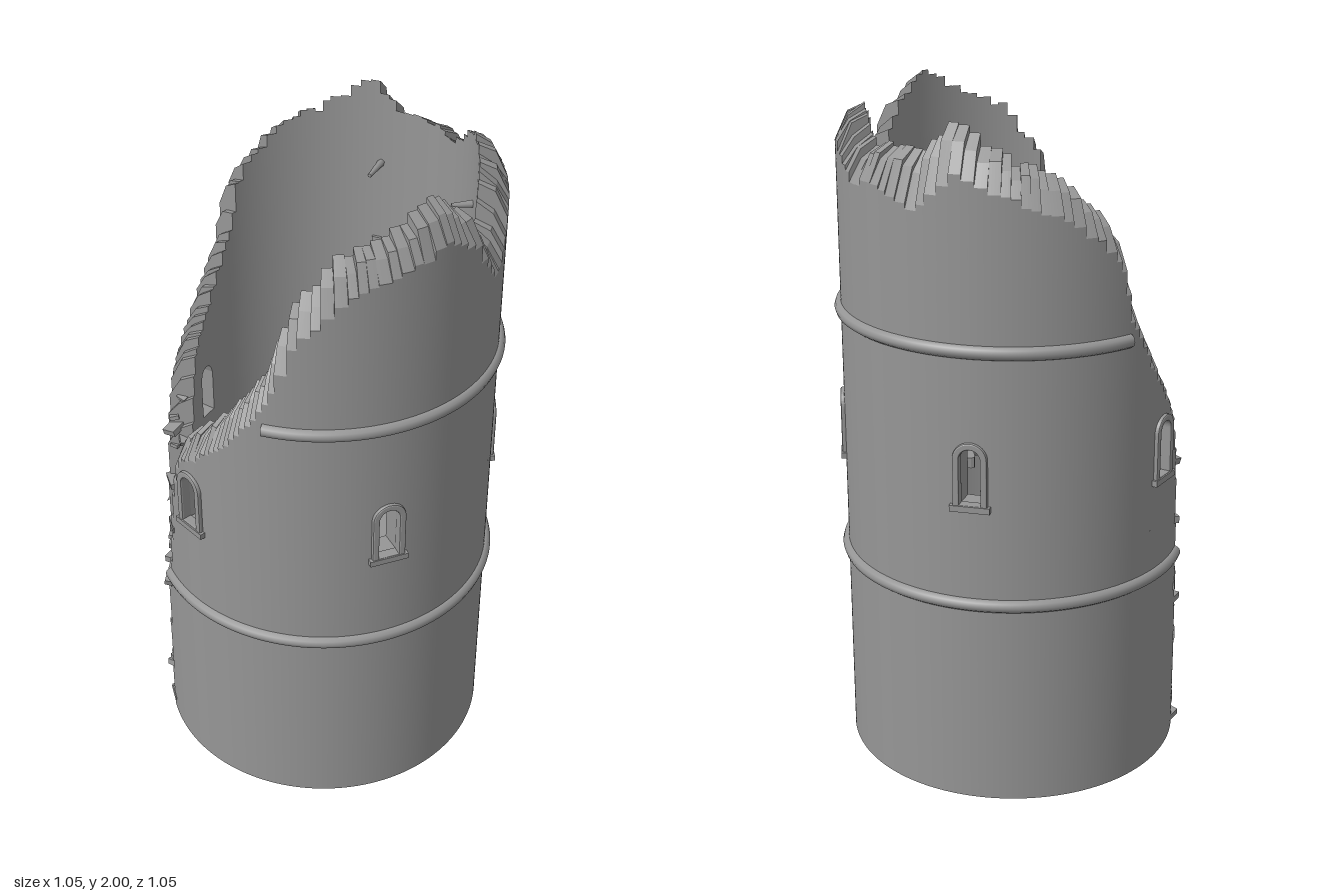
import * as THREE from 'three';

const OUT = 0.505, MID = 0.468, INN = 0.42;
const START = 241, END = 580; // wall runs between the breach edges, degrees from +z towards +x
const WINDOWS = [267, 337, 411, 483, 555], HALF = 4;
const SILL = 0.93, SPRING = 1.07;

// Broken wall top: angle, height of the outer edge
const TOP = [[241, 0.05], [243, 0.3], [246, 0.55], [250, 0.68], [256, 0.97], [261, 1.13], [270, 1.18],
  [285, 1.3], [296, 1.43], [307, 1.65], [320, 1.78], [330, 1.82], [347, 1.87], [356, 1.9], [368, 1.84],
  [378, 1.73], [384, 1.68], [390, 1.72], [397, 1.81], [410, 1.87], [420, 1.87], [436, 1.79], [450, 1.8],
  [465, 1.74], [478, 1.86], [492, 1.81], [510, 1.75], [525, 1.67], [533, 1.58], [537, 1.43], [548, 1.27],
  [556, 1.18], [563, 1.08], [568, 0.94], [571, 0.72], [574, 0.5], [577, 0.3], [580, 0.05]];

const grey = new THREE.MeshStandardMaterial({ color: 0x969696 });

let seed = 7;
const rand = () => (seed = (seed * 16807) % 2147483647) / 2147483647;
const jitter = (s) => (rand() - 0.5) * 2 * s;

function lookup(table, a) {
  let i = 1;
  while (i < table.length - 1 && table[i][0] < a) i++;
  const [p, q] = [table[i - 1], table[i]];
  return THREE.MathUtils.lerp(p[1], q[1], THREE.MathUtils.clamp((a - p[0]) / (q[0] - p[0]), 0, 1));
}

function polar(a, r, y) {
  const t = THREE.MathUtils.degToRad(a);
  return new THREE.Vector3(r * Math.sin(t), y, r * Math.cos(t));
}

function add(parent, name, geometry) {
  const mesh = new THREE.Mesh(geometry, grey);
  mesh.name = name;
  parent.add(mesh);
  return mesh;
}

// Hollow wall with arched openings and a stepped, outward sloping broken top
function wallGeometry() {
  const pos = [], nor = [];
  // smooth round faces get radial normals, broken faces stay flat
  const tri = (...corners) => {
    const t = new THREE.Triangle(...corners);
    if (t.getArea() < 1e-9) return;
    const flat = t.getNormal(new THREE.Vector3());
    for (const c of corners) {
      const radial = new THREE.Vector3(c.x, 0, c.z).normalize();
      const d = flat.dot(radial);
      const base = flat.y < -0.99 && c.y === 0;
      const n = base ? radial : Math.abs(d) > 0.995 ? radial.multiplyScalar(Math.sign(d)) : flat;
      pos.push(...c.toArray());
      nor.push(...n.toArray());
    }
  };
  const quad = (a, b, c, d) => { tri(a, b, c); tri(a, c, d); };
  const strip = (a0, a1, r0, y00, y01, r1, y10, y11) =>
    quad(polar(a0, r0, y00), polar(a1, r0, y01), polar(a1, r1, y11), polar(a0, r1, y10));

  const pts = [{ a: START, o: 0, m: 0, n: 0 }];
  let h, next = START;
  for (let a = START; a < END; a++) {
    if (a === next) {
      // wide blocks along the crown, narrow ones down the breach
      const width = a > 300 && a < 530 ? 3 + Math.floor(rand() * 2) : 2;
      const base = lookup(TOP, a + width / 2);
      const rise = 0.09 + 0.07 * Math.exp(-(((a - 465) / 12) ** 2));
      const o = base + jitter(0.008);
      const n = Math.min(2, base + rise + jitter(0.013));
      h = { o, n, m: Math.min(2, o + (n - o) * 0.7 + jitter(0.01)) };
      next = a + width;
    }
    const c = { ...h };
    if (WINDOWS.some((w) => a >= w - HALF && a < w + HALF)) for (const k in c) c[k] = Math.max(c[k], 1.15);
    pts.push({ a, ...c }, { a: a + 1, ...c });
  }
  pts.push({ a: END, o: 0, m: 0, n: 0 });

  for (let i = 1; i < pts.length; i++) {
    const p = pts[i - 1], q = pts[i];
    // broken top, risers and wall ends
    strip(p.a, q.a, OUT, p.o, q.o, MID, p.m, q.m);
    strip(p.a, q.a, MID, p.m, q.m, INN, p.n, q.n);
    if (p.a === q.a) continue;
    strip(p.a, q.a, INN, 0, 0, OUT, 0, 0);
    const w = WINDOWS.find((c) => p.a >= c - HALF && q.a <= c + HALF);
    if (w === undefined) {
      strip(p.a, q.a, OUT, 0, 0, OUT, p.o, q.o);
      strip(q.a, p.a, INN, 0, 0, INN, q.n, p.n);
      continue;
    }
    const arch = (a) => SPRING + 0.0088 * Math.sqrt(HALF ** 2 - (a - w) ** 2);
    const [h0, h1] = [arch(p.a), arch(q.a)];
    strip(p.a, q.a, OUT, 0, 0, OUT, SILL, SILL);
    strip(p.a, q.a, OUT, h0, h1, OUT, p.o, q.o);
    strip(q.a, p.a, INN, 0, 0, INN, SILL, SILL);
    strip(q.a, p.a, INN, h1, h0, INN, q.n, p.n);
    strip(p.a, q.a, OUT, SILL, SILL, INN, SILL, SILL);
    strip(p.a, q.a, INN, h0, h1, OUT, h0, h1);
    const jamb = (a, rA, rB) => quad(polar(a, rA, SILL), polar(a, rB, SILL), polar(a, rB, SPRING), polar(a, rA, SPRING));
    if (p.a === w - HALF) jamb(p.a, OUT, INN);
    if (q.a === w + HALF) jamb(q.a, INN, OUT);
  }
  const g = new THREE.BufferGeometry();
  g.setAttribute('position', new THREE.Float32BufferAttribute(pos, 3));
  g.setAttribute('normal', new THREE.Float32BufferAttribute(nor, 3));
  return g;
}

// Flat ring sector; inner(a) gives the inner radius
function slab(a0, a1, step, inner, outer, y, thick) {
  const pts = [], back = [];
  const n = Math.round((a1 - a0) / step);
  for (let i = 0; i <= n; i++) {
    const a = a0 + ((a1 - a0) * i) / n;
    const o = polar(a, outer, 0), c = polar(a, inner(a), 0);
    pts.push(new THREE.Vector2(o.x, -o.z));
    back.unshift(new THREE.Vector2(c.x, -c.z));
  }
  const g = new THREE.ExtrudeGeometry(new THREE.Shape([...pts, ...back]), { depth: thick, bevelEnabled: false });
  return g.rotateX(-Math.PI / 2).translate(0, y, 0);
}

// Half-round string course covering part of the circle
function band(a0, a1) {
  const g = new THREE.TorusGeometry(OUT - 0.002, 0.02, 10, 120, THREE.MathUtils.degToRad(a1 - a0));
  return g.rotateX(-Math.PI / 2).rotateY(THREE.MathUtils.degToRad(a0 - 90));
}

function archShape(w, bottom) {
  const s = new THREE.Shape();
  s.moveTo(-w, bottom).lineTo(w, bottom).lineTo(w, SPRING);
  s.absarc(0, SPRING, w, 0, Math.PI, false);
  return s.lineTo(-w, bottom);
}

function windowFrame(a) {
  const g = new THREE.Group();
  g.name = 'windowFrame';
  const s = archShape(0.046, 0.92);
  s.holes.push(archShape(0.034, 0.932));
  const opts = { depth: 0.022, bevelThickness: 0.006, bevelSize: 0.004, bevelSegments: 2, curveSegments: 10 };
  add(g, 'archSurround', new THREE.ExtrudeGeometry(s, opts)).position.z = 0.487;
  add(g, 'windowSill', new THREE.BoxGeometry(0.116, 0.018, 0.036)).position.set(0, 0.925, 0.5);
  g.rotation.y = THREE.MathUtils.degToRad(a);
  return g;
}

export function createModel() {
  const tower = new THREE.Group();
  tower.name = 'ruinedTower';
  add(tower, 'wall', wallGeometry());

  // String courses end at the breach
  add(tower, 'upperBand', band(297, 536)).position.y = 1.38;
  add(tower, 'lowerBand', band(249, 571)).position.y = 0.63;
  WINDOWS.forEach((a) => tower.add(windowFrame(a)));

  // Broken floors
  const lowerEdge = [[295, 0.4], [302, 0.33], [315, 0.32], [330, 0.3], [345, 0.26], [354, 0.2], [360, 0.18], [370, 0.22],
    [385, 0.23], [400, 0.24], [423, 0.23], [438, 0.27], [450, 0.31], [468, 0.32], [484, 0.3], [494, 0.34], [505, 0.4]];
  add(tower, 'lowerFloor', slab(295, 505, 3, (a) => lookup(lowerEdge, a) + jitter(0.006), 0.43, 0.79, 0.035));
  const upperEdge = [[295, 0.41], [305, 0.36], [335, 0.365], [360, 0.35], [390, 0.385], [408, 0.37], [425, 0.4], [445, 0.385], [475, 0.41]];
  add(tower, 'upperFloor', slab(295, 475, 3, (a) => lookup(upperEdge, a) + jitter(0.01), 0.43, 1.44, 0.03));

  // Spiral stair along the inner wall
  const stair = new THREE.Group();
  stair.name = 'spiralStair';
  for (let i = 0; i < 50; i++) {
    const a = 28 + i * 6, top = 0.03 + i * 0.0158, low = Math.max(0, top - 0.06);
    const inner = 0.328 + jitter(0.01);
    add(stair, 'stairTread', slab(a, a + 6.3, 3.15, () => inner + jitter(0.004), 0.424, low, top - low));
  }
  tower.add(stair);

  // Stubs of broken timbers: angle, inner end radius, height
  for (const [a, r, y] of [[5, 0.28, 1.46], [28, 0.28, 1.46], [12, 0.36, 1.76], [55, 0.36, 1.76],
    [112, 0.33, 1.72], [150, 0.3, 0.4], [265, 0.3, 0.66], [300, 0.31, 0.74]]) {
    const beam = add(tower, 'brokenBeam', new THREE.CylinderGeometry(0.006, 0.013, 0.44 - r, 5).rotateX(-Math.PI / 2));
    beam.position.copy(polar(a, (r + 0.44) / 2, y));
    beam.rotation.y = THREE.MathUtils.degToRad(a);
  }

  // Loose stones sticking out of both edges of the breach, denser near the ground
  const rubble = new THREE.Group();
  rubble.name = 'breachStones';
  for (const [end, dir] of [[START, 1], [END, -1]]) {
    for (let i = 0; i < 45; i++) {
      const y = 0.02 + (i / 45) ** 1.5 * 1.05;
      let a = end;
      while (lookup(TOP, a) < y) a += dir * 0.5;
      const size = 0.012 + rand() * 0.025;
      const stone = add(rubble, 'stone', new THREE.BoxGeometry(size * 1.8, size * 0.6, size * 1.4));
      stone.position.copy(polar(a - dir * rand() * 1.5, 0.43 + rand() * 0.06, y));
      stone.rotation.set(jitter(0.3), THREE.MathUtils.degToRad(a) + jitter(0.6), jitter(0.3));
    }
  }
  tower.add(rubble);
  return tower;
}
